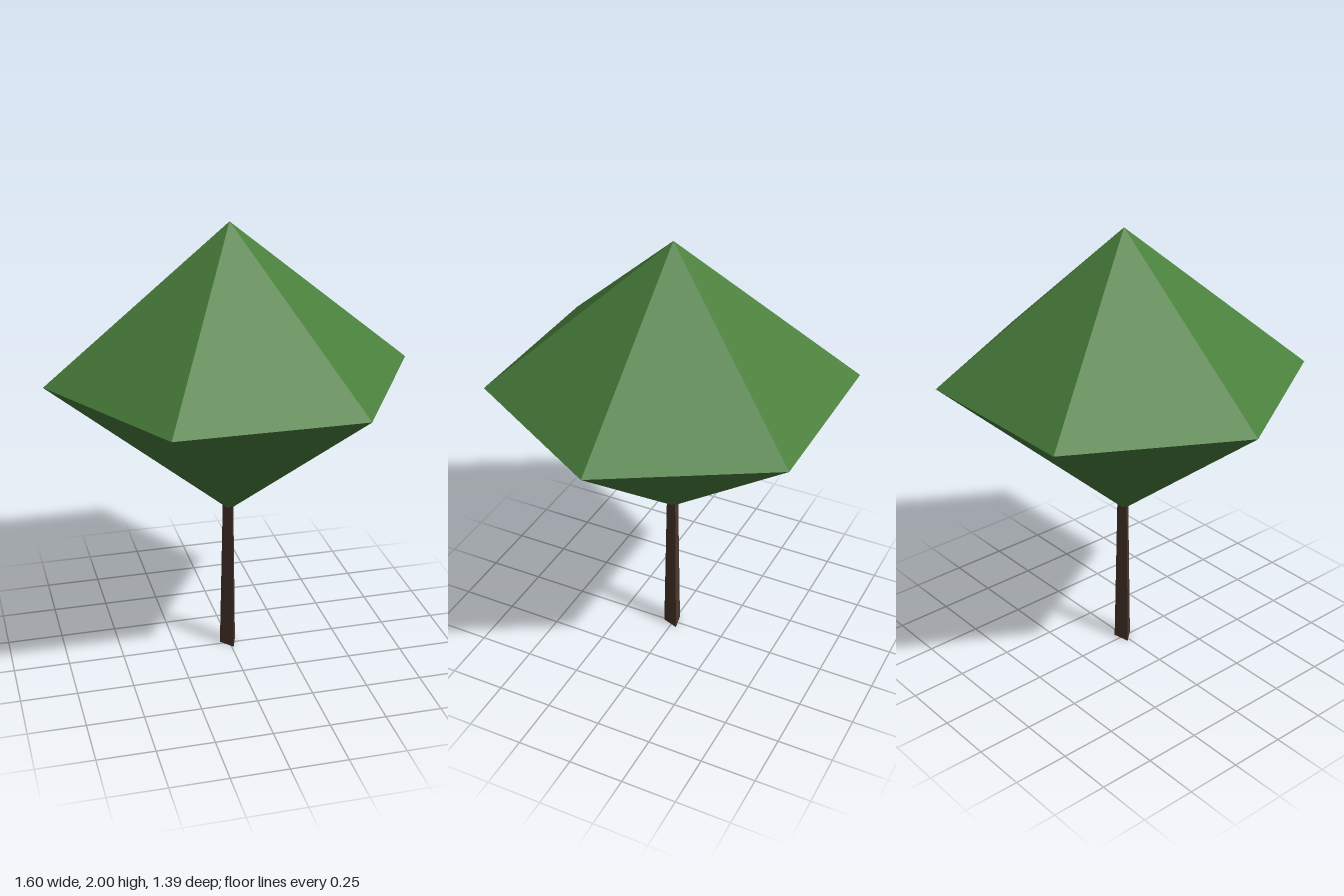
import * as THREE from 'three';

export function createModel() {
  const group = new THREE.Group();
  const leafGreen = new THREE.MeshStandardMaterial({ color: 0x4a7f3c, flatShading: true });
  leafGreen.name = 'leaf green';
  const barkBrown = new THREE.MeshStandardMaterial({ color: 0x4e372f, flatShading: true });
  barkBrown.name = 'bark brown';

  // Crown: six-sided double pyramid, corners on the x axis
  const crownRadius = 0.8;
  const crownHalfHeight = 0.655;
  const crown = new THREE.Mesh(new THREE.SphereGeometry(crownRadius, 6, 2), leafGreen);
  crown.name = 'crown';
  crown.scale.y = crownHalfHeight / crownRadius;
  crown.position.y = 2 - crownHalfHeight;
  group.add(crown);

  // Trunk: tapered three-sided post, its top buried in the crown
  const trunkHeight = 0.74;
  const trunk = new THREE.Mesh(new THREE.CylinderGeometry(0.03, 0.045, trunkHeight, 3), barkBrown);
  trunk.name = 'trunk';
  trunk.position.y = trunkHeight / 2;
  trunk.rotation.y = 0.2;
  group.add(trunk);

  return group;
}
